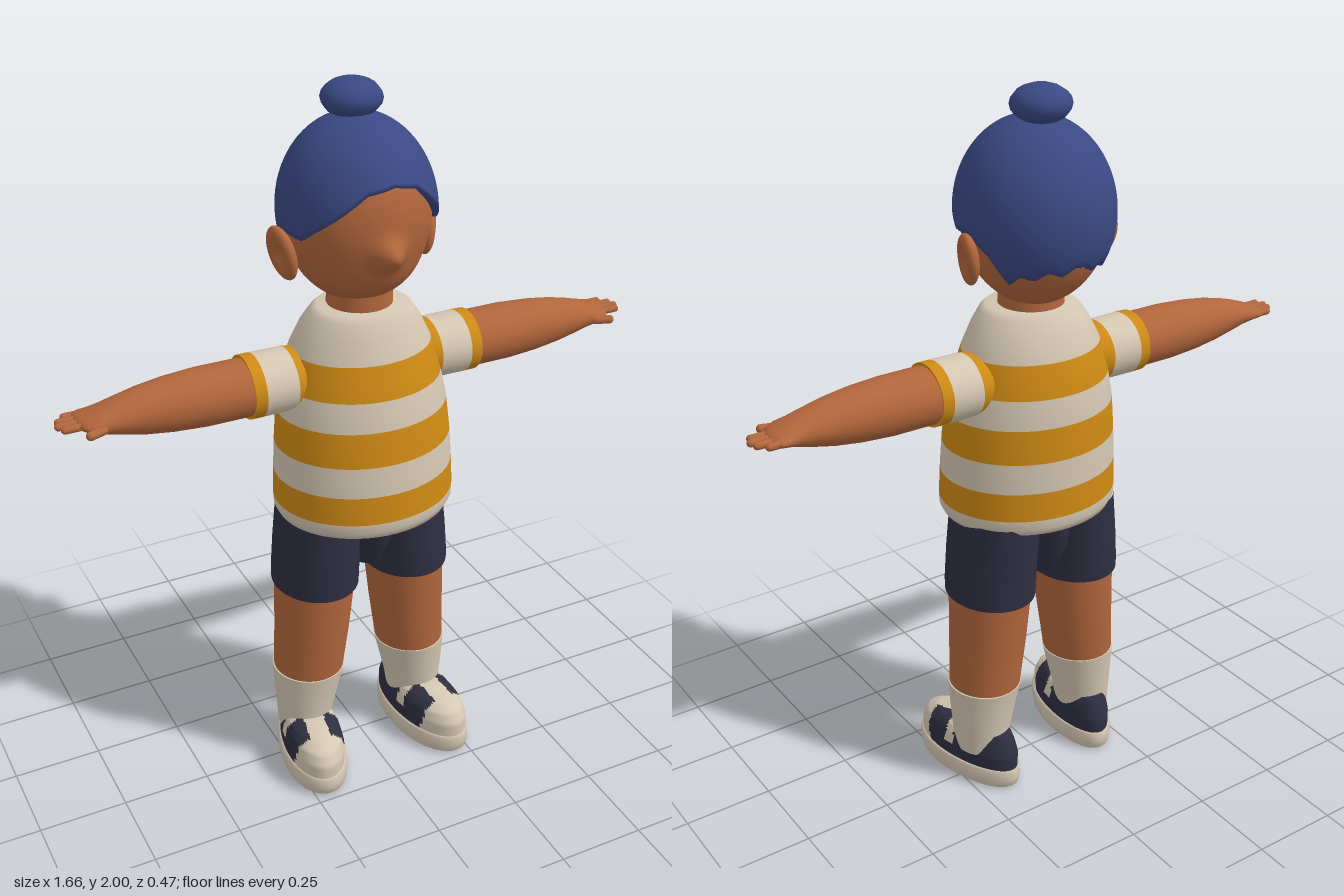
import * as THREE from 'three';

const mat = (name, color) => {
  const m = new THREE.MeshStandardMaterial({ color });
  m.name = name;
  return m;
};

// Closed-ring surface: point(row, angle) gives [x, y, z]; rows run upward,
// pick(x, y, z) chooses the material slot of each cell.
function skinRings(rows, seg, point, pick) {
  const pos = [], index = [], geo = new THREE.BufferGeometry();
  for (let j = 0; j <= rows; j++)
    for (let i = 0; i < seg; i++) pos.push(...point(j, (i / seg) * Math.PI * 2));
  const slots = [];
  for (let j = 0; j < rows; j++)
    for (let i = 0; i < seg; i++) {
      const k = (i + 1) % seg;
      const q = [j * seg + i, j * seg + k, (j + 1) * seg + k, (j + 1) * seg + i];
      index.push(q[0], q[1], q[2], q[0], q[2], q[3]);
      if (pick) {
        const mid = [0, 1, 2].map((c) => q.reduce((s, n) => s + pos[n * 3 + c], 0) / 4);
        slots.push(pick(...mid));
      }
    }
  geo.setAttribute('position', new THREE.Float32BufferAttribute(pos, 3));
  geo.setIndex(index);
  geo.computeVertexNormals();
  for (let s = 0, e; s < slots.length; s = e) {
    for (e = s + 1; e < slots.length && slots[e] === slots[s];) e++;
    geo.addGroup(s * 6, (e - s) * 6, slots[s]);
  }
  return geo;
}

// Loft through stations [y, centreX, centreZ, radiusX, radiusZ]
function loft(stations, seg = 40, pick, sub = 1) {
  return skinRings((stations.length - 1) * sub, seg, (j, a) => {
    const k = Math.min(Math.floor(j / sub), stations.length - 2), t = j / sub - k;
    const [y, cx, cz, rx, rz] = stations[k].map((s, n) => s + (stations[k + 1][n] - s) * t);
    return [cx + rx * Math.sin(a), y, cz + rz * Math.cos(a)];
  }, pick);
}

// Mirror across x = 0, keeping faces outward
function mirrored(geo) {
  const g = geo.clone().scale(-1, 1, 1), ix = g.index;
  for (let i = 0; i < ix.count; i += 3) {
    const b = ix.getX(i + 1);
    ix.setX(i + 1, ix.getX(i + 2));
    ix.setX(i + 2, b);
  }
  return g;
}

function reshape(geo, rule) {
  const p = geo.attributes.position, v = new THREE.Vector3();
  for (let i = 0; i < p.count; i++) {
    rule(v.fromBufferAttribute(p, i));
    p.setXYZ(i, v.x, v.y, v.z);
  }
  geo.computeVertexNormals();
  return geo;
}

// Height of the hairline by angle from the front (0) to the back (PI)
const HAIRLINE = [[0, 1.79], [0.38, 1.775], [0.76, 1.71], [1.2, 1.64], [1.6, 1.645],
  [1.9, 1.6], [2.1, 1.525], [2.5, 1.545], [3.15, 1.56]];
function hairline(a) {
  const b = Math.abs(a > Math.PI ? a - Math.PI * 2 : a);
  const k = HAIRLINE.findIndex((h, i) => b <= HAIRLINE[i + 1][0]);
  const [a0, y0] = HAIRLINE[k], [a1, y1] = HAIRLINE[k + 1];
  const jag = b > 2.1 ? 0.02 * Math.abs(((b * 2.6) % 1) * 2 - 1) : 0;
  return y0 + ((y1 - y0) * (b - a0)) / (a1 - a0) + jag;
}

export function createModel() {
  const root = new THREE.Group();
  root.name = 'standingChild';
  const skin = mat('skin', 0xb2663c), cream = mat('cream', 0xd4c7b2), mustard = mat('mustard', 0xcf8a14);
  const navy = mat('navy', 0x2f2f42), blue = mat('hairBlue', 0x3a4984);
  blue.side = THREE.DoubleSide;

  const add = (name, geo, material) => {
    const m = new THREE.Mesh(geo, material);
    m.name = name;
    root.add(m);
  };
  const pair = (name, geo, material) => {
    add(name + 'Left', geo, material);
    add(name + 'Right', mirrored(geo), material);
  };

  // Head with a soft nose and a fuller jaw
  add('head', reshape(new THREE.SphereGeometry(1, 80, 60), (v) => {
    v.set(v.x * 0.195, 1.67 + v.y * 0.24, v.z * 0.19);
    if (v.z > 0) {
      const d = (v.x * v.x + (v.y - 1.605) ** 2) / 0.036 ** 2;
      v.z += (v.z / 0.19) * 0.018 * Math.exp(-(((v.y - 1.5) / 0.06) ** 2)) + 0.052 * Math.exp(-d);
    }
    v.z -= 0.02;
  }), skin);
  add('neck', new THREE.CylinderGeometry(0.085, 0.09, 0.1, 32).translate(0, 1.44, 0), skin);

  // Cupped ears
  const ear = reshape(new THREE.SphereGeometry(1, 32, 24), (v) => {
    const r2 = v.y * v.y + v.z * v.z;
    v.set(v.x * 0.026 - (v.x > 0 ? 0.026 * Math.exp(-r2 * 4) : 0), v.y * 0.073, v.z * 0.05);
  });
  pair('ear', ear.rotateY(-0.25).rotateX(-0.25).rotateZ(-0.2).translate(0.207, 1.583, -0.022), skin);

  // Hair cap: first row tucks under to give the edge thickness
  const rows = 24;
  add('hair', skinRings(rows, 120, (j, a) => {
    const v = Math.max(0, j - 1) / (rows - 1), s = j === 0 ? 0.9 : 1;
    const phi = Math.acos((hairline(a) - 1.675) / 0.245) * (1 - v);
    const r = Math.sin(phi) * s, fringe = 0.025 * Math.max(0, Math.cos(a)) ** 2 * (1 - v) * s;
    return [0.205 * r * Math.sin(a), 1.675 + 0.245 * Math.cos(phi), -0.02 + 0.213 * r * Math.cos(a) + fringe];
  }), blue);
  add('hairBun', new THREE.SphereGeometry(1, 12, 10).scale(0.08, 0.05, 0.08).translate(0, 1.95, -0.043), blue);

  // Striped shirt
  const stripes = [[0.88, 0.96], [1.045, 1.14], [1.22, 1.31]];
  add('shirt', loft([
    [0.84, 0, 0.02, 0.1, 0.1], [0.83, 0, 0.02, 0.225, 0.195], [0.835, 0, 0.02, 0.242, 0.212],
    [0.855, 0, 0.02, 0.252, 0.22], [0.88, 0, 0.02, 0.253, 0.22], [0.96, 0, 0.018, 0.25, 0.216],
    [1.045, 0, 0.015, 0.245, 0.211], [1.14, 0, 0.01, 0.236, 0.202], [1.22, 0, 0.006, 0.22, 0.19],
    [1.31, 0, 0.002, 0.194, 0.165], [1.37, 0, 0.004, 0.165, 0.142], [1.41, 0, 0.008, 0.137, 0.122],
    [1.424, 0, 0.008, 0.118, 0.108], [1.425, 0, 0.008, 0, 0],
  ], 56, (x, y) => (stripes.some(([a, b]) => y > a && y < b) ? 1 : 0)), [cream, mustard]);

  // Sleeves and arms, lofted upward and laid along x
  const lay = (g) => g.rotateZ(-Math.PI / 2).translate(0, 1.24, -0.007);
  pair('sleeve', lay(loft([
    [0.12, 0, 0, 0.06, 0.06], [0.16, 0, 0, 0.078, 0.085], [0.21, 0, 0, 0.084, 0.09], [0.3, 0, 0, 0.085, 0.09],
    [0.3, 0, 0, 0.085, 0.09], [0.332, 0, 0, 0.085, 0.089], [0.332, 0, 0, 0.085, 0.089], [0.325, 0, 0, 0.05, 0.05],
  ], 36, (x, y) => (y < 0.2 || y > 0.3 ? 1 : 0))), [cream, mustard]);
  pair('arm', lay(loft([
    [0.28, 0, 0, 0.07, 0.075], [0.33, 0, 0, 0.077, 0.083], [0.45, 0, 0, 0.078, 0.079], [0.54, 0, 0, 0.072, 0.073],
    [0.61, 0, 0, 0.062, 0.066], [0.67, 0, 0, 0.048, 0.059], [0.71, 0, 0, 0.036, 0.056], [0.735, 0, 0, 0.026, 0.062],
    [0.76, 0, -0.008, 0.018, 0.057], [0.775, 0, -0.015, 0.013, 0.045], [0.782, 0, -0.018, 0, 0],
  ], 36)), skin);

  // Fingers and thumb
  [[-0.057, 0.805], [-0.034, 0.826], [-0.011, 0.832], [0.012, 0.822]].forEach(([z, tip], i) => {
    const g = new THREE.CapsuleGeometry(0.01, tip - 0.765, 5, 12).rotateZ(-Math.PI / 2);
    pair('finger' + (i + 1), g.translate((tip + 0.745) / 2, 1.24, z), skin);
  });
  pair('thumb', new THREE.CapsuleGeometry(0.012, 0.04, 5, 12).rotateZ(-Math.PI / 2)
    .rotateY(-0.35).translate(0.743, 1.235, 0.052), skin);

  // Shorts
  pair('shortsLeg', loft([
    [0.61, 0.141, -0.002, 0.09, 0.1], [0.6, 0.141, -0.002, 0.12, 0.141], [0.6, 0.141, -0.002, 0.12, 0.141],
    [0.63, 0.14, -0.002, 0.12, 0.144], [0.73, 0.134, -0.003, 0.117, 0.147], [0.85, 0.124, -0.005, 0.112, 0.15],
  ], 40), navy);
  add('shortsSeat', loft([
    [0.655, 0, -0.003, 0, 0], [0.655, 0, -0.003, 0.055, 0.09], [0.655, 0, -0.003, 0.055, 0.09],
    [0.74, 0, -0.003, 0.068, 0.143], [0.85, 0, -0.003, 0.09, 0.157],
  ], 32), navy);

  // Legs and socks
  pair('leg', loft([[0.29, 0.166, -0.004, 0.099, 0.104], [0.45, 0.152, -0.003, 0.106, 0.117],
    [0.64, 0.139, -0.003, 0.114, 0.127]]), skin);
  pair('sock', loft([[0.1, 0.181, -0.005, 0.075, 0.085], [0.17, 0.178, -0.005, 0.083, 0.09],
    [0.24, 0.172, -0.004, 0.094, 0.098], [0.308, 0.165, -0.004, 0.103, 0.108],
    [0.308, 0.165, -0.004, 0.103, 0.108], [0.312, 0.165, -0.004, 0.09, 0.095]]), cream);

  // Shoes: toes turned slightly outward, heel narrower than the ball
  const place = (g) => reshape(g, (v) => { v.x *= 0.95 + 0.45 * v.z; })
    .rotateY(0.16).translate(0.185, 0, 0.0475);
  pair('shoeSole', place(loft([
    [0, 0, 0, 0, 0], [0, 0, 0, 0.085, 0.178], [0.008, 0, 0, 0.094, 0.188], [0.03, 0, 0, 0.097, 0.193],
    [0.058, 0, 0, 0.096, 0.192], [0.062, 0, 0, 0.088, 0.184],
  ], 48)), cream);
  const shoePaint = (x, y, z) => {
    if (z > 0.105 || (y < 0.08 && z > 0.09)) return 0; // toe cap
    if (Math.abs(x) < 0.03 && z > 0) return 0; // tongue
    if (y > 0.095 && z > -0.012 && z < 0.02) return 0; // strap
    return 1;
  };
  pair('shoeUpper', place(loft([
    [0.05, 0, 0, 0.088, 0.186], [0.1, 0, -0.001, 0.088, 0.186], [0.13, 0, -0.005, 0.081, 0.172],
    [0.15, 0, -0.02, 0.071, 0.148], [0.164, 0, -0.048, 0.056, 0.112], [0.168, 0, -0.055, 0, 0],
  ], 96, shoePaint, 5)), [cream, navy]);

  return root;
}
